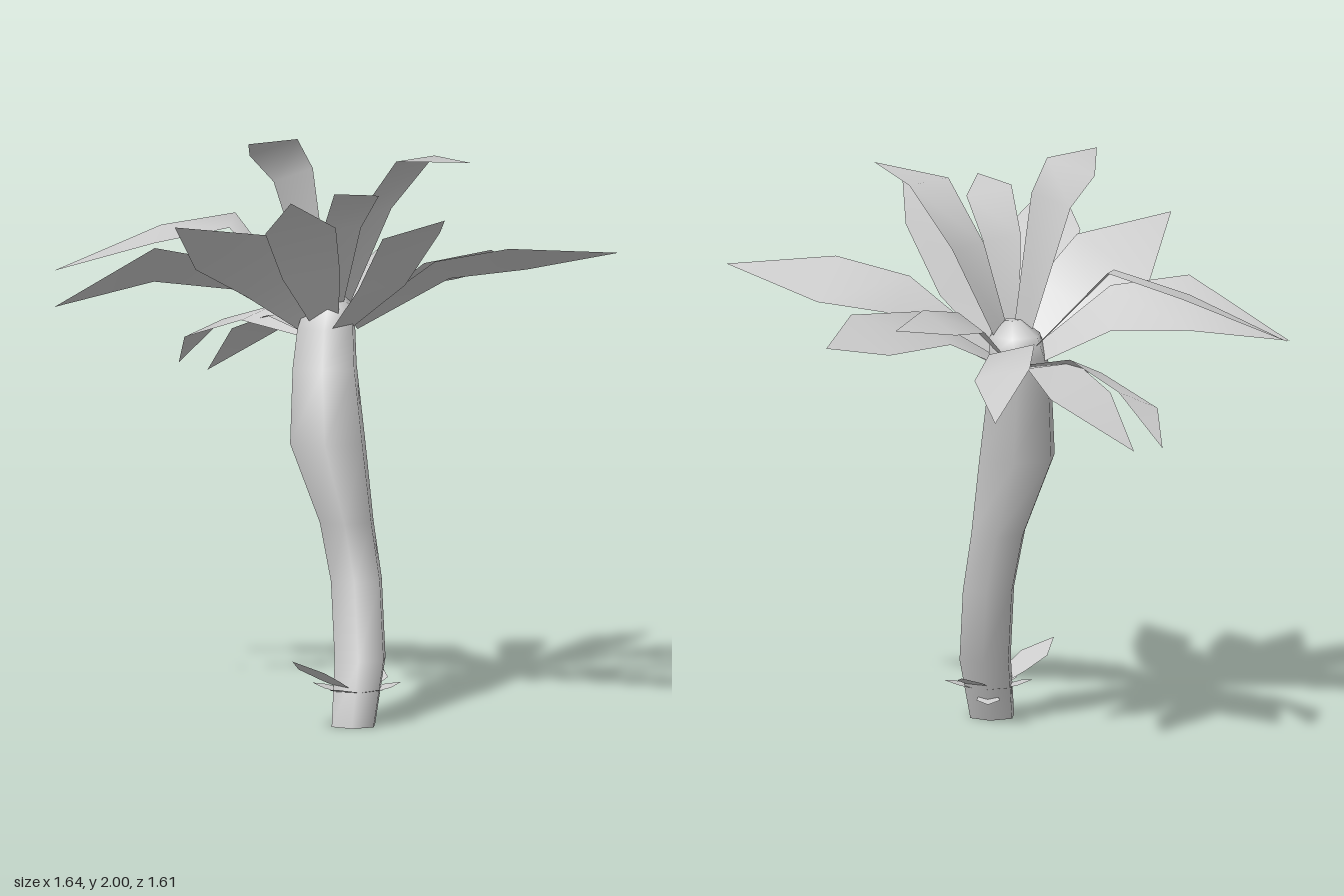
import * as THREE from 'three';
import { mergeVertices } from 'three/addons/utils/BufferGeometryUtils.js';

const solid = new THREE.MeshStandardMaterial({ color: 0xcccccc });
const thin = new THREE.MeshStandardMaterial({ color: 0xcccccc, side: THREE.DoubleSide });
const V = (a) => new THREE.Vector3(...a);

// Six-sided trunk rings, bottom to top: y, x, z, radius
const RINGS = [
  [0, -0.08, 0.335, 0.083], [0.22, -0.025, 0.275, 0.097], [0.48, 0.005, 0.185, 0.097],
  [0.68, -0.015, 0.15, 0.102], [0.95, -0.057, 0.088, 0.143], [1.2, -0.035, 0.02, 0.122],
  [1.33, -0.01, -0.018, 0.11], [1.4, 0, -0.015, 0.095], [1.45, 0, 0, 0.03],
];

function makeTrunk() {
  const n = RINGS.length - 1;
  let geo = new THREE.CylinderGeometry(1, 1, 1, 6, n, true, Math.PI / 2);
  const p = geo.attributes.position;
  for (let i = 0; i < p.count; i++) {
    const [y, x, z, r] = RINGS[Math.round((p.getY(i) + 0.5) * n)];
    p.setXYZ(i, x + p.getX(i) * r, y, z + p.getZ(i) * r);
  }
  geo.deleteAttribute('uv');
  geo.deleteAttribute('normal');
  geo = mergeVertices(geo);
  geo.computeVertexNormals();
  const trunk = new THREE.Mesh(geo, solid);
  trunk.name = 'trunk';
  return trunk;
}

// Flat six-sided cap closing one end of the trunk
function makeCap(name, [y, x, z, r], tilt) {
  const cap = new THREE.Mesh(new THREE.CircleGeometry(r, 6), solid);
  cap.name = name;
  cap.rotation.x = tilt;
  cap.position.set(x, y, z);
  return cap;
}

// Leaf blade: three cross-sections (base, low, mid) closing in a point.
// side is half the width at mid; the narrower sections reuse it scaled.
function makeLeaf(name, root, low, mid, tip, side) {
  const base = root.clone().lerp(V(low), 0.22);
  const s = V(side);
  const pos = [];
  [[base, 0.35], [V(low), 0.82], [V(mid), 1]].forEach(([c, k]) => {
    pos.push(...c.clone().addScaledVector(s, -k).toArray());
    pos.push(...c.clone().addScaledVector(s, k).toArray());
  });
  pos.push(...tip);
  const geo = new THREE.BufferGeometry();
  geo.setAttribute('position', new THREE.Float32BufferAttribute(pos, 3));
  geo.setIndex([0, 1, 3, 0, 3, 2, 2, 3, 5, 2, 5, 4, 4, 5, 6]);
  geo.computeVertexNormals();
  const leaf = new THREE.Mesh(geo, thin);
  leaf.name = name;
  return leaf;
}

export function createModel() {
  const tree = new THREE.Group();
  tree.name = 'palmTree';
  tree.add(makeTrunk());
  tree.add(makeCap('trunkFoot', RINGS[0], Math.PI / 2));
  tree.add(makeCap('trunkTop', RINGS[RINGS.length - 1], -Math.PI / 2));

  // Crown of leaves
  const crown = new THREE.Group();
  crown.name = 'crown';
  const root = new THREE.Vector3(0, 1.28, -0.01);
  const frond = (...a) => crown.add(makeLeaf('crownLeaf', root, ...a));
  // back
  frond([-0.2, 1.665, -0.36], [-0.38, 1.6, -0.575], [-0.66, 1.46, -0.81], [0.063, 0.015, -0.1]);
  frond([-0.11, 1.34, -0.35], [-0.19, 1.26, -0.6], [-0.205, 1.12, -0.765], [0.065, 0.03, 0.02]);
  frond([-0.01, 1.34, -0.29], [-0.02, 1.27, -0.5], [-0.135, 1.1, -0.685], [0.12, 0, -0.015]);
  frond([0.165, 1.42, -0.34], [0.31, 1.385, -0.57], [0.4, 1.245, -0.705], [0.1, -0.015, 0.01]);
  // right
  frond([-0.28, 1.5, -0.19], [-0.5, 1.53, -0.355], [-0.825, 1.39, -0.47], [0.05, -0.075, -0.105]);
  frond([-0.22, 1.5, 0.02], [-0.405, 1.62, 0.055], [-0.68, 1.74, 0.17], [0.08, 0.07, 0.12]);
  // left
  frond([0.26, 1.5, -0.22], [0.47, 1.55, -0.405], [0.69, 1.56, -0.52], [0.01, 0.025, 0.11]);
  frond([0.35, 1.47, -0.115], [0.625, 1.48, -0.18], [0.82, 1.46, -0.24], [0.035, 0.06, 0.08]);
  frond([0.33, 1.53, 0.19], [0.54, 1.575, 0.35], [0.81, 1.61, 0.58], [0.085, -0.055, -0.105]);
  // front
  frond([-0.14, 1.53, 0.13], [-0.24, 1.71, 0.25], [-0.375, 1.84, 0.45], [0.11, 0.01, 0.05]);
  frond([0.05, 1.5, 0.29], [0.05, 1.71, 0.52], [0.04, 1.8, 0.8], [0.122, 0, -0.025]);
  // upright, curling over
  frond([-0.04, 1.7, 0.17], [-0.07, 1.835, 0.34], [-0.11, 1.86, 0.515], [0.09, -0.01, -0.01]);
  frond([0.17, 1.72, 0], [0.235, 1.92, 0.175], [0.3, 1.94, 0.475], [0.09, 0, -0.035]);
  frond([-0.13, 1.86, -0.03], [-0.22, 1.965, 0], [-0.37, 2, 0.11], [0.07, 0.03, 0.043]);
  tree.add(crown);

  // Small leaves around the foot, each given by its tip and half width
  const collar = new THREE.Group();
  collar.name = 'footLeaves';
  const heart = new THREE.Vector3(-0.05, 0.1, 0.3);
  const sprouts = [
    [-0.34, 0.245, 0.39, 0.065], [-0.185, 0.14, 0.41, 0.05], [-0.02, 0.13, 0.42, 0.045],
    [0.1, 0.14, 0.34, 0.05], [0.1, 0.17, 0.2, 0.05], [-0.04, 0.14, 0.12, 0.05],
    [0, 0.07, 0.2, 0.04], [-0.18, 0.14, 0.22, 0.05],
  ];
  for (const [x, y, z, w] of sprouts) {
    const tip = new THREE.Vector3(x, y, z);
    const d = tip.clone().sub(heart);
    const side = new THREE.Vector3(d.z, 0, -d.x).setLength(w);
    const at = (t) => heart.clone().addScaledVector(d, t).toArray();
    collar.add(makeLeaf('footLeaf', heart, at(0.4), at(0.7), tip.toArray(), side.toArray()));
  }
  tree.add(collar);
  return tree;
}
